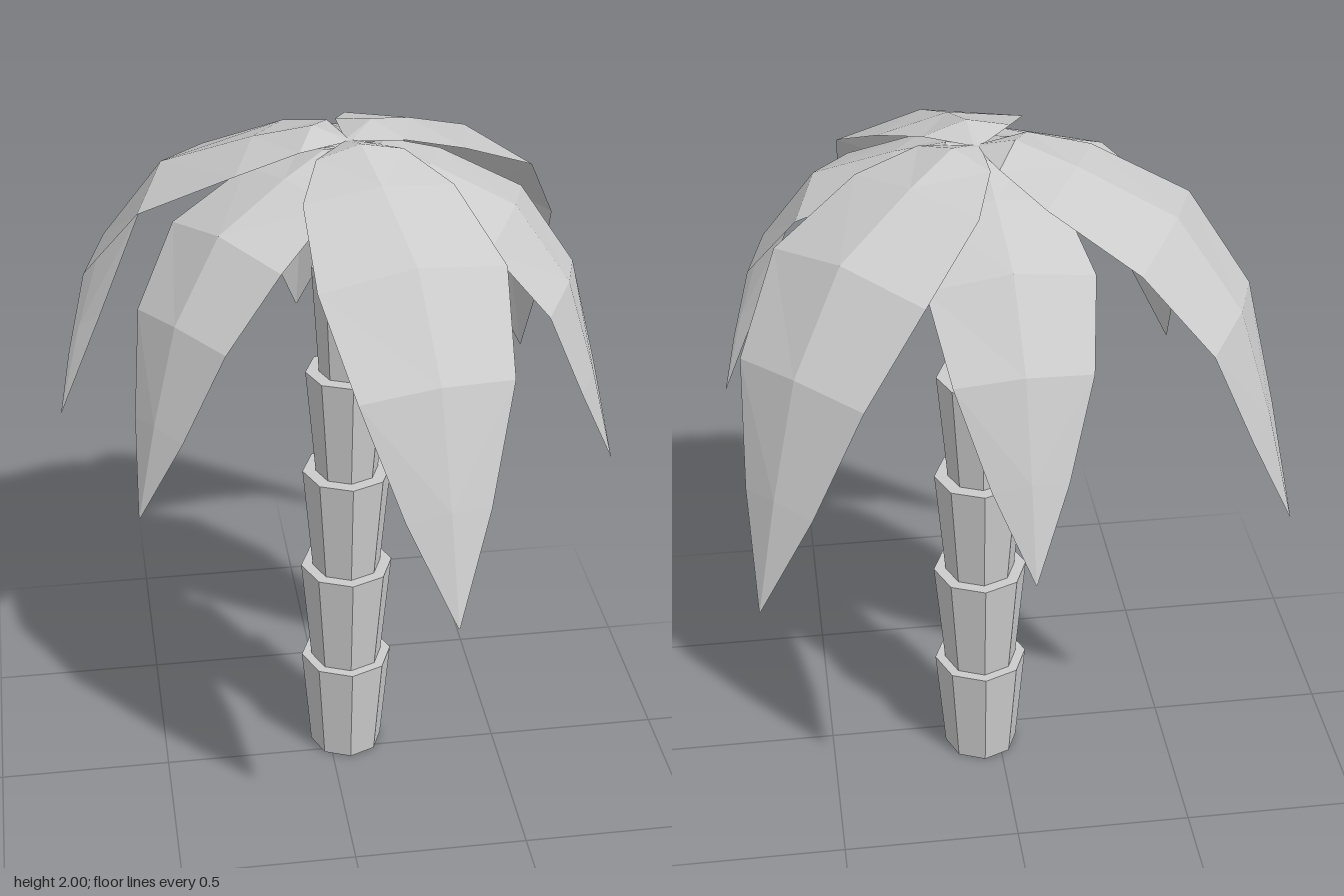
import * as THREE from 'three';

const CX = 0.053, CZ = -0.06; // trunk axis
const grey = new THREE.MeshStandardMaterial({ color: 0xcccccc, flatShading: true });
const leafMat = new THREE.MeshStandardMaterial({ color: 0xcccccc, flatShading: true, side: THREE.DoubleSide });

// Frond cross-sections from root to tip: [rib reach, rib height, edge reach, edge height, half width]
const ROWS = [
  [0.0, -0.03, 0.0, -0.03, 0.01],
  [0.1, 0.0, 0.096, -0.03, 0.12],
  [0.265, -0.05, 0.245, -0.08, 0.204],
  [0.53, -0.155, 0.503, -0.2, 0.25],
  [0.71, -0.395, 0.687, -0.42, 0.207],
  [0.805, -0.7, 0.788, -0.72, 0.115],
  [0.88, -1.0, 0.88, -1.0, 0.002],
];

// A drooping frond folded along its middle rib, pointing along +z
function frondGeometry() {
  const pts = ROWS.map(([r, y, re, ye, w]) => [[-w, ye, re], [0, y, r], [w, ye, re]]);
  const pos = [];
  for (let i = 0; i < pts.length - 1; i++) {
    for (let j = 0; j < 2; j++) {
      const a = pts[i][j], b = pts[i][j + 1], c = pts[i + 1][j + 1], d = pts[i + 1][j];
      // mirrored diagonals on the two halves
      if (j === 0) pos.push(...a, ...d, ...c, ...a, ...c, ...b);
      else pos.push(...a, ...d, ...b, ...d, ...c, ...b);
    }
  }
  const g = new THREE.BufferGeometry();
  g.setAttribute('position', new THREE.Float32BufferAttribute(pos, 3));
  g.computeVertexNormals();
  return g;
}

export function createModel() {
  const model = new THREE.Group();

  // Trunk: stacked flared octagonal tiers
  const trunk = new THREE.Group();
  trunk.name = 'trunk';
  const tiers = [[0.107, 0.134], [0.105, 0.134], [0.1, 0.128], [0.09, 0.118], [0.08, 0.1], [0.055, 0.075]];
  const h = 0.322;
  tiers.forEach(([bottom, top], i) => {
    const tier = new THREE.Mesh(new THREE.CylinderGeometry(top, bottom, h, 8), grey);
    tier.name = 'trunkTier' + (i + 1);
    tier.position.y = h * (i + 0.5);
    trunk.add(tier);
  });
  trunk.position.set(CX, 0, CZ);
  model.add(trunk);

  // Crown: large and small fronds alternating around the trunk
  const crown = new THREE.Group();
  crown.name = 'crown';
  const geo = frondGeometry();
  [10.4, 67.2, 133.6, 183.8, 245, 304.9].forEach((deg, i) => {
    const small = i % 2 === 1;
    const frond = new THREE.Mesh(geo, leafMat);
    frond.name = small ? 'smallFrond' : 'largeFrond';
    frond.scale.setScalar(small ? 0.85 : 1);
    frond.position.y = small ? 1.97 : 2;
    frond.rotation.y = THREE.MathUtils.degToRad(deg);
    crown.add(frond);
  });
  crown.position.set(CX, 0, CZ);
  model.add(crown);

  return model;
}
